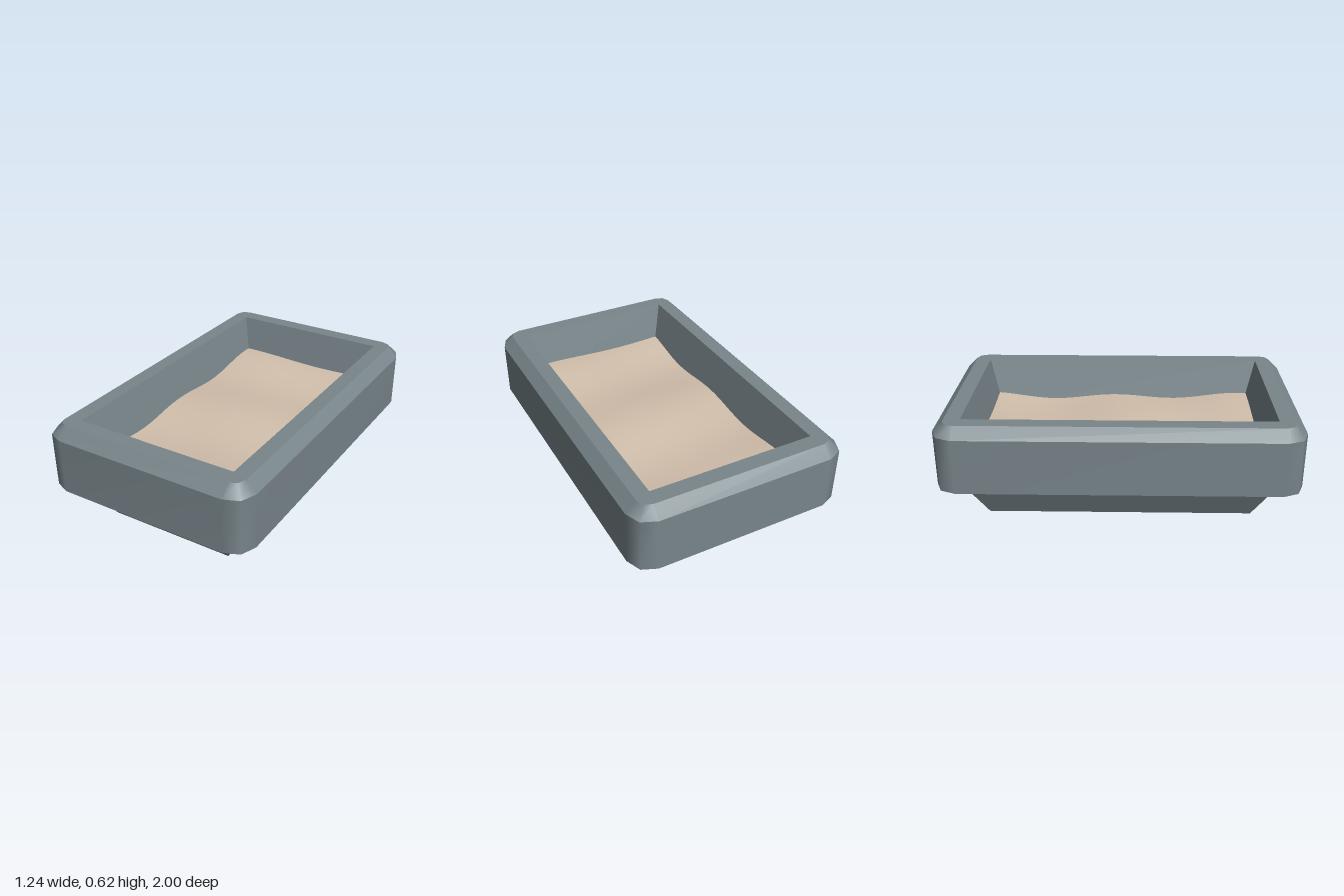
import * as THREE from 'three';
import { mergeGeometries } from 'three/addons/utils/BufferGeometryUtils.js';

const stone = new THREE.MeshStandardMaterial({ color: 0x78858a });
stone.name = 'grey stone';
const sand = new THREE.MeshStandardMaterial({ color: 0xd2bfac });
sand.name = 'pale sand';

// Rectangle of half sizes w, d at height y, with two-segment rounded corners
function loop([w, d, y, r = 0]) {
  const points = [];
  const signs = [[1, 1], [-1, 1], [-1, -1], [1, -1]];
  signs.forEach(([sx, sz], corner) => {
    for (let i = 0; i <= 2; i++) {
      const a = (corner + i / 2) * Math.PI / 2;
      points.push([sx * (w - r) + r * Math.cos(a), y, sz * (d - r) + r * Math.sin(a)]);
    }
  });
  return points;
}

// Band of faces between two loops, smooth around and sharp at both rims
function band(from, to) {
  const a = loop(from), b = loop(to), n = a.length, index = [];
  for (let i = 0; i < n; i++) {
    const j = (i + 1) % n;
    index.push(i, n + i, j, n + i, n + j, j);
  }
  const geometry = new THREE.BufferGeometry();
  geometry.setAttribute('position', new THREE.Float32BufferAttribute([...a, ...b].flat(), 3));
  geometry.setIndex(index);
  geometry.computeVertexNormals();
  return geometry;
}

// Shell through a list of loops [halfWidth, halfDepth, y, cornerRadius]
function shell(name, profile) {
  const bands = profile.slice(1).map((p, i) => band(profile[i], p));
  const mesh = new THREE.Mesh(mergeGeometries(bands), stone);
  mesh.name = name;
  return mesh;
}

// Gently rippled filling whose edges run into the sloping walls
function sandBed() {
  const geometry = new THREE.PlaneGeometry(0.89, 1.64, 12, 24).rotateX(-Math.PI / 2);
  const p = geometry.attributes.position;
  for (let i = 0; i < p.count; i++) {
    const x = p.getX(i), z = p.getZ(i);
    p.setY(i, 0.403 + 0.014 * Math.cos(8 * z + x) + 0.008 * Math.cos(6 * x - 3 * z));
  }
  geometry.computeVertexNormals();
  const mesh = new THREE.Mesh(geometry, sand);
  mesh.name = 'sandBed';
  return mesh;
}

export function createModel() {
  const group = new THREE.Group();
  group.name = 'stoneBasin';
  group.add(
    // Tapered foot with its flat bottom
    shell('foot', [[0, 0, 0], [0.375, 0.75, 0], [0.5, 0.875, 0.25]]),
    // Underside, outer wall, bevel, rim and inner walls
    shell('basin', [
      [0.5, 0.875, 0.25],
      [0.62, 1, 0.25, 0.12],
      [0.62, 1, 0.565, 0.12],
      [0.56, 0.94, 0.625, 0.06],
      [0.475, 0.85, 0.625],
      [0.4, 0.775, 0.34],
    ]),
    sandBed(),
  );
  return group;
}
